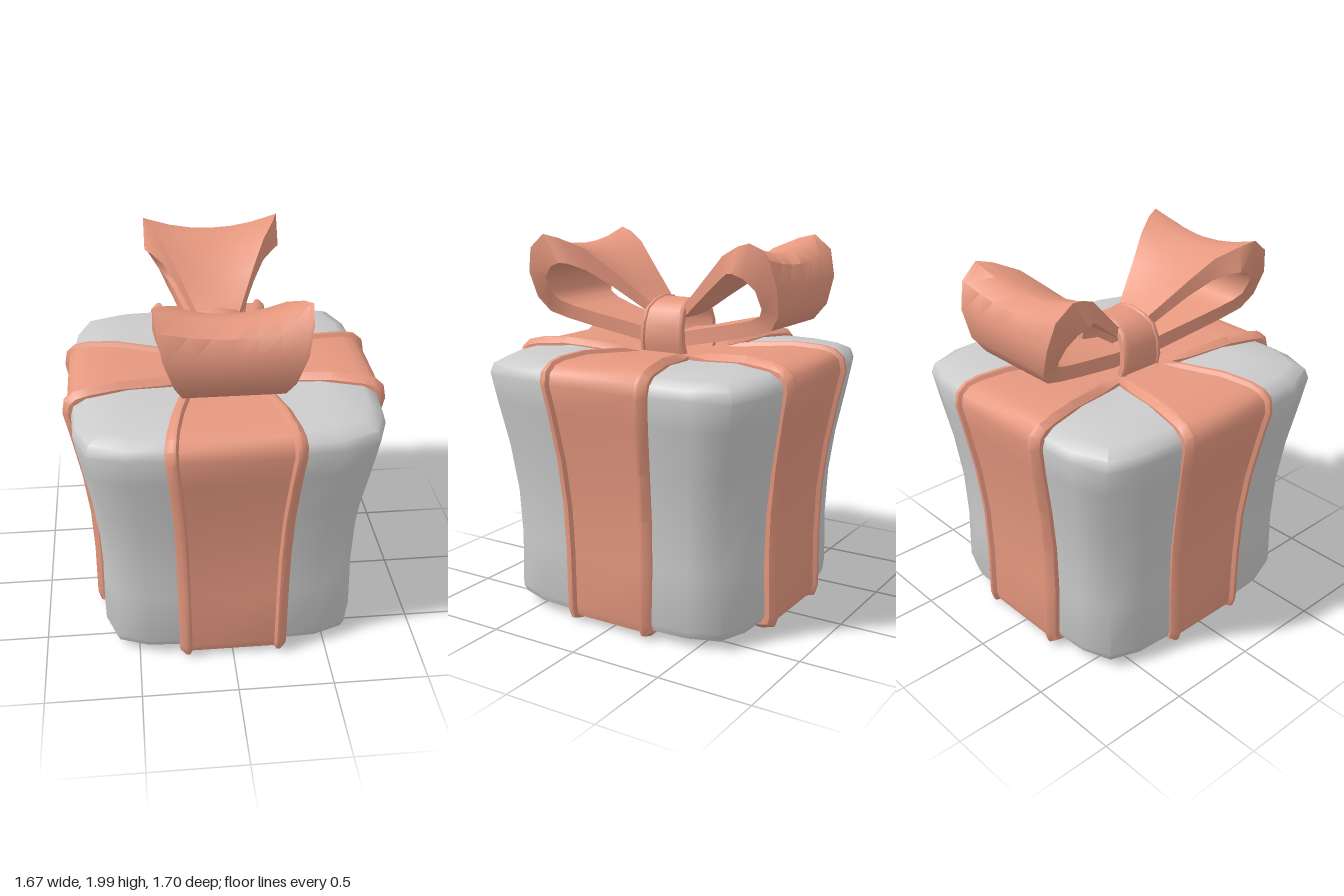
import * as THREE from 'three';
import { toCreasedNormals } from 'three/addons/utils/BufferGeometryUtils.js';

const wrap = new THREE.MeshStandardMaterial({ color: 0xcccccc });
const satin = new THREE.MeshStandardMaterial({ color: 0xe6987f, side: THREE.DoubleSide });

// Skin a list of closed rings of [x, y, z] points; loop joins the last ring to the first
function loft(rings, loop, crease) {
  const n = rings[0].length, index = [];
  const count = loop ? rings.length : rings.length - 1;
  for (let i = 0; i < count; i++) {
    for (let j = 0; j < n; j++) {
      const a = i * n + j, b = i * n + (j + 1) % n;
      const k = ((i + 1) % rings.length) * n;
      const c = k + j, d = k + (j + 1) % n;
      index.push(a, c, b, b, c, d);
    }
  }
  const g = new THREE.BufferGeometry();
  g.setAttribute('position', new THREE.Float32BufferAttribute(rings.flat(2), 3));
  g.setIndex(index);
  return toCreasedNormals(g, crease);
}

// Ribbon swept along a counterclockwise [x, y, halfWidth] path, with raised hems
function ribbon(path, loop, hem, hemSize, depth) {
  const rings = path.map(([x, y, w], i) => {
    const last = path.length - 1;
    const p = path[i ? i - 1 : loop ? last : 0];
    const q = path[i < last ? i + 1 : loop ? 0 : last];
    const len = Math.hypot(q[0] - p[0], q[1] - p[1]);
    const nx = (q[1] - p[1]) / len, ny = -(q[0] - p[0]) / len;
    const h = hem(x), e = hemSize;
    const half = [[w, -depth], [w, -0.01 * h], [w - 0.5 * e, 0.02 * h], [w - 0.8 * e, 0.02 * h], [w - e, 0]];
    const section = [...half.map(([s, o]) => [-s, o]), ...half.slice().reverse()];
    return section.map(([s, o]) => [x + nx * o, y + ny * o, s]);
  });
  return loft(rings, loop, 0.75);
}

// Complete a right-hand path, bottom to top, with its mirror image
function mirrorPath(half) {
  const left = half.filter((p) => p[0] > 0).reverse().map(([x, y, w]) => [-x, y, w]);
  return [...half, ...left];
}

function add(parent, name, geometry, material) {
  const mesh = new THREE.Mesh(geometry, material);
  mesh.name = name;
  parent.add(mesh);
  return mesh;
}

// Puffy box: rounded-square outline scaled up a flaring profile
function boxGeometry() {
  const side = [[1, -0.4], [1, 0], [1, 0.4], [0.985, 0.67], [0.9, 0.9], [0.67, 0.985]];
  const outline = [];
  for (let k = 0; k < 4; k++) {
    const c = Math.round(Math.cos(k * Math.PI / 2)), s = Math.round(Math.sin(k * Math.PI / 2));
    for (const [x, z] of side) outline.push([x * c - z * s, x * s + z * c]);
  }
  const profile = [
    [0.05, 0.001], [0.05, 0.62], [0.06, 0.67], [0.1, 0.685], [0.4, 0.68], [0.65, 0.69], [0.9, 0.72],
    [1.15, 0.765], [1.3, 0.79], [1.35, 0.775], [1.385, 0.71], [1.4, 0.5], [1.375, 0.25], [1.37, 0.001],
  ];
  return loft(profile.map(([y, r]) => outline.map(([x, z]) => [x * r, y, z * r * 1.015])), false, 0.9);
}

// Bow loop: outer x, y, inner x, y, half width, sag of the middle
function bowLoopGeometry() {
  const stations = [
    [0.05, 1.43, 0.05, 1.5, 0.11, 0], [0.13, 1.43, 0.13, 1.51, 0.12, 0], [0.42, 1.495, 0.4, 1.57, 0.18, 0],
    [0.58, 1.535, 0.54, 1.605, 0.215, 0], [0.68, 1.57, 0.615, 1.635, 0.245, 0], [0.735, 1.65, 0.645, 1.68, 0.285, 0],
    [0.75, 1.79, 0.635, 1.77, 0.335, 0.01], [0.715, 1.925, 0.58, 1.825, 0.36, 0.045], [0.62, 2, 0.52, 1.845, 0.37, 0.07],
    [0.54, 1.98, 0.48, 1.84, 0.34, 0.065], [0.42, 1.925, 0.41, 1.805, 0.275, 0.05], [0.3, 1.82, 0.3, 1.73, 0.21, 0.03],
    [0.2, 1.73, 0.2, 1.655, 0.16, 0.01], [0.11, 1.65, 0.11, 1.585, 0.115, 0], [0.05, 1.62, 0.05, 1.56, 0.11, 0],
  ];
  const across = [-1, -0.95, -0.6, -0.3, 0, 0.3, 0.6, 0.95, 1];
  const rings = stations.map(([ox, oy, ix, iy, w, sag]) => {
    const outer = across.map((u) => [ox, oy - sag * (1 - u * u), u * w]);
    const inner = across.slice().reverse().map((u) => [ix, iy + 0.1 * sag * u * u, u * w]);
    return [...outer, ...inner];
  });
  return loft(rings, false, 0.75);
}

export function createModel() {
  const model = new THREE.Group();
  model.name = 'giftBox';
  add(model, 'box', boxGeometry(), wrap);

  // Two crossing ribbons wrapped right around the box, the front one wider and fuller
  const band = mirrorPath([
    [0, 0.035, 0.245], [0.2, 0.035, 0.245], [0.3, 0.033, 0.25], [0.64, 0.03, 0.26], [0.69, 0.045, 0.26],
    [0.702, 0.09, 0.26], [0.7, 0.4, 0.265], [0.71, 0.65, 0.27], [0.74, 0.9, 0.28], [0.785, 1.15, 0.3],
    [0.815, 1.3, 0.315], [0.805, 1.36, 0.315], [0.765, 1.395, 0.31], [0.7, 1.41, 0.3], [0.55, 1.42, 0.27],
    [0.3, 1.4, 0.21], [0.2, 1.393, 0.185], [0, 1.39, 0.15],
  ]);
  const frontBand = band.map(([x, y, w]) => [x * (1.045 - 0.02 * y), y, w + 0.025]);
  const hem = (x) => THREE.MathUtils.clamp((Math.abs(x) - 0.2) / 0.1, 0, 1);
  add(model, 'sideRibbon', ribbon(band, true, hem, 0.065, 0.04), satin);
  add(model, 'frontRibbon', ribbon(frontBand, true, hem, 0.065, 0.04), satin).rotation.y = Math.PI / 2;

  // Bow: two loops and the band that gathers them
  const bow = new THREE.Group();
  bow.name = 'bow';
  model.add(bow);
  const loopGeometry = bowLoopGeometry();
  add(bow, 'frontLoop', loopGeometry, satin).rotation.y = -Math.PI / 2;
  add(bow, 'backLoop', loopGeometry, satin).rotation.y = Math.PI / 2;
  const knot = [
    [0.165, 1.38, 0.135], [0.185, 1.45, 0.13], [0.18, 1.54, 0.125],
    [0.15, 1.615, 0.12], [0.09, 1.655, 0.11], [0, 1.67, 0.11],
  ];
  add(bow, 'knot', ribbon(mirrorPath(knot), false, () => 0.4, 0.03, 0.035), satin);
  return model;
}
